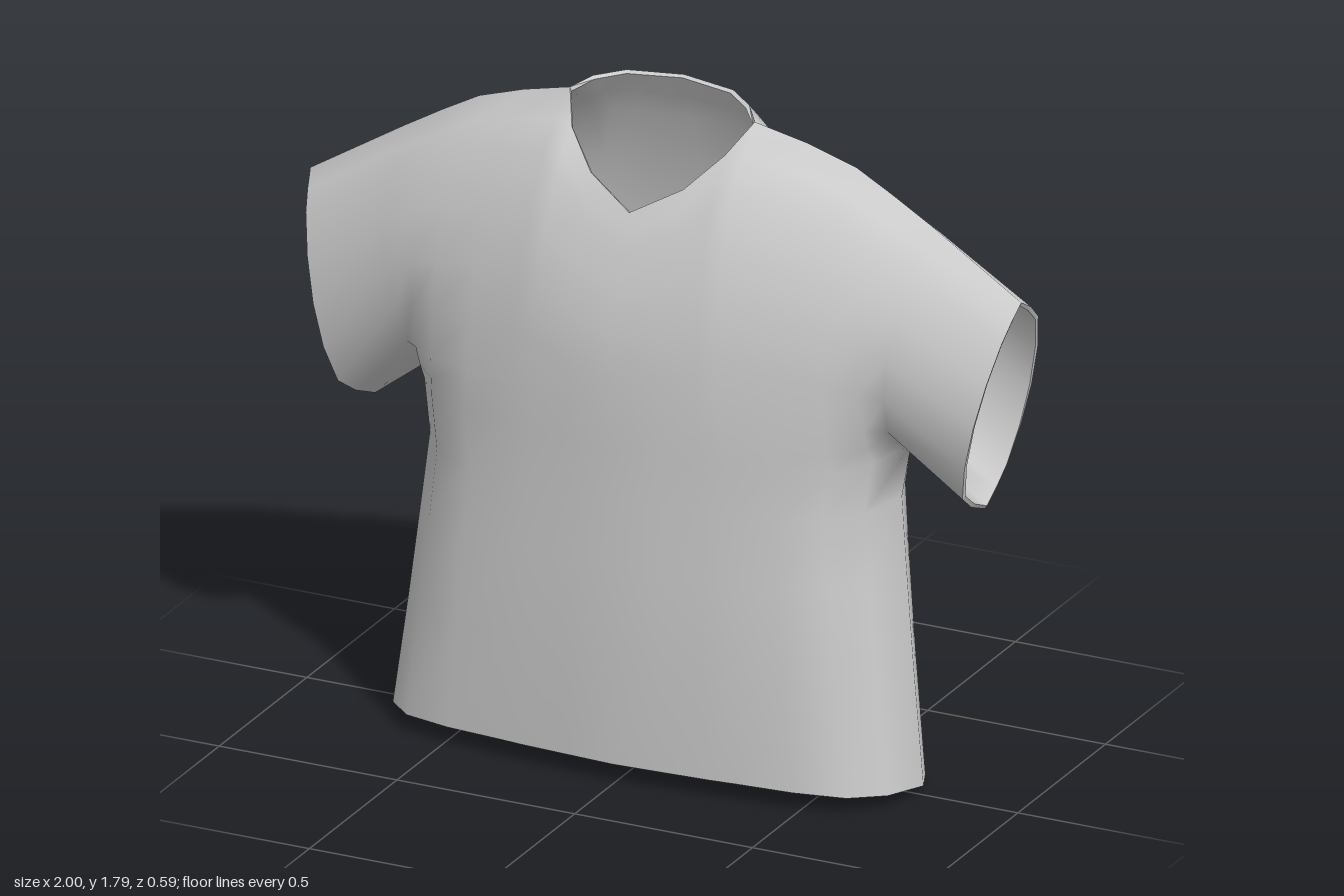
import * as THREE from 'three';
import { mergeVertices } from 'three/addons/utils/BufferGeometryUtils.js';

// Half-shirt sections from the centre line out to the cuff. Each row:
// bottom x, y, z | depth z at 15%, 50%, 85% of the height | top x, y, z
const FRONT = [
  [0, .92, .29, .29, .28, .225, 0, 1.53, .19],
  [.13, .92, .28, .28, .27, .2, .13, 1.6, .145],
  [.24, .92, .27, .27, .255, .17, .215, 1.685, .08],
  [.3, .92, .26, .26, .24, .14, .26, 1.755, 0],
  [.44, .92, .235, .235, .215, .11, .4, 1.715, -.02],
  [.56, .92, .18, .195, .19, .09, .53, 1.67, -.03],
  [.63, .92, .08, .13, .165, .08, .63, 1.615, -.03],
  [.665, .92, -.07, .085, .15, .07, .74, 1.55, -.03],
  [.857, .77, -.1, .07, .11, .05, 1, 1.39, -.02],
];
const BACK = [
  [0, .92, -.29, -.285, -.265, -.18, 0, 1.79, -.125],
  [.13, .92, -.287, -.283, -.262, -.18, .15, 1.785, -.1],
  [.24, .92, -.28, -.28, -.26, -.17, .22, 1.775, -.05],
  [.3, .92, -.275, -.275, -.255, -.165, .26, 1.755, 0],
  [.44, .92, -.255, -.26, -.25, -.155, .4, 1.715, -.02],
  [.56, .92, -.215, -.235, -.245, -.15, .53, 1.67, -.03],
  [.63, .92, -.16, -.2, -.24, -.15, .63, 1.615, -.03],
  [.665, .92, -.07, -.18, -.235, -.15, .74, 1.55, -.03],
  [.857, .77, -.1, -.185, -.225, -.16, 1, 1.39, -.02],
];
// Body below the armpits: height, width scale, front depth scale, back depth scale
const BODY = [[0, 1.105, .97, .86], [.34, 1.045, 1.02, .88], [.6, 1, 1.01, .92], [.78, .97, 1, .97], [.92, 1, 1, 1]];
const THICKNESS = .012;

// Curve over chest or back, from armpit height to shoulder or neckline
function upperColumn(r, side) {
  const at = (f, z) => new THREE.Vector3(
    side * THREE.MathUtils.lerp(r[0], r[6], f), THREE.MathUtils.lerp(r[1], r[7], f), z);
  return new THREE.CatmullRomCurve3(
    [at(0, r[2]), at(.15, r[3]), at(.5, r[4]), at(.85, r[5]), at(1, r[8])]).getPoints(8);
}

// Straight run from the hem up to armpit height
function lowerColumn(r, side) {
  return BODY.map(([y, sx, sf, sb]) => {
    const drop = 1 - y / .92;
    const z = r[2] * (r[2] > 0 ? sf : sb) + .06 * drop * (r[0] / .665) ** 4;
    const hem = y === 0 ? .027 + z * .1 : y;
    return new THREE.Vector3(side * r[0] * sx, hem, z);
  });
}

// Skin neighbouring columns with triangles
function skin(columns, flip, out) {
  for (let i = 0; i + 1 < columns.length; i++) {
    for (let j = 0; j + 1 < columns[i].length; j++) {
      const a = columns[i][j], b = columns[i + 1][j];
      const c = columns[i + 1][j + 1], d = columns[i][j + 1];
      const quad = flip ? [a, c, b, a, d, c] : [a, b, c, a, c, d];
      quad.forEach(p => out.push(p.x, p.y, p.z));
    }
  }
}

function fromPoints(points) {
  const g = new THREE.BufferGeometry();
  g.setAttribute('position', new THREE.Float32BufferAttribute(points, 3));
  return g;
}

function buildOutside() {
  const points = [];
  for (const [rows, flip] of [[FRONT, false], [BACK, true]]) {
    const across = (list, fn) => [
      ...list.slice(1).reverse().map(r => fn(r, -1)), ...list.map(r => fn(r, 1))];
    skin(across(rows, upperColumn), flip, points);
    skin(across(rows.slice(0, 8), lowerColumn), flip, points);
  }
  const g = mergeVertices(fromPoints(points), 1e-4);
  g.computeVertexNormals();
  return g;
}

// Same surface moved inward and turned inside out
function buildLining(outside) {
  const g = outside.clone();
  const p = g.attributes.position, n = g.attributes.normal, idx = g.index.array;
  for (let i = 0; i < p.count; i++) {
    p.setXYZ(i, p.getX(i) - n.getX(i) * THICKNESS, p.getY(i) - n.getY(i) * THICKNESS,
      p.getZ(i) - n.getZ(i) * THICKNESS);
  }
  for (let i = 0; i < idx.length; i += 3) [idx[i + 1], idx[i + 2]] = [idx[i + 2], idx[i + 1]];
  g.computeVertexNormals();
  return g;
}

// Thin bands closing every open edge: neckline, cuffs and hem
function buildRims(outside, lining) {
  const idx = outside.index.array, edges = new Set(), points = [];
  const eachEdge = fn => {
    for (let i = 0; i < idx.length; i += 3) {
      for (let k = 0; k < 3; k++) fn(idx[i + k], idx[i + (k + 1) % 3]);
    }
  };
  const vertex = (g, i) => new THREE.Vector3().fromBufferAttribute(g.attributes.position, i).toArray();
  eachEdge((a, b) => edges.add(a + '_' + b));
  eachEdge((a, b) => {
    if (edges.has(b + '_' + a)) return;
    const A = vertex(outside, a), B = vertex(outside, b);
    const C = vertex(lining, b), D = vertex(lining, a);
    points.push(...A, ...C, ...B, ...A, ...D, ...C);
  });
  const g = fromPoints(points);
  g.computeVertexNormals();
  return g;
}

export function createModel() {
  const group = new THREE.Group();
  group.name = 'shirt';
  const cloth = new THREE.MeshStandardMaterial({ color: 0xcccccc });
  cloth.name = 'grey cloth';
  const outside = buildOutside(), lining = buildLining(outside);
  const parts = { shirtOutside: outside, shirtLining: lining, openingRims: buildRims(outside, lining) };
  for (const [name, geometry] of Object.entries(parts)) {
    const mesh = new THREE.Mesh(geometry, cloth);
    mesh.name = name;
    group.add(mesh);
  }
  return group;
}
